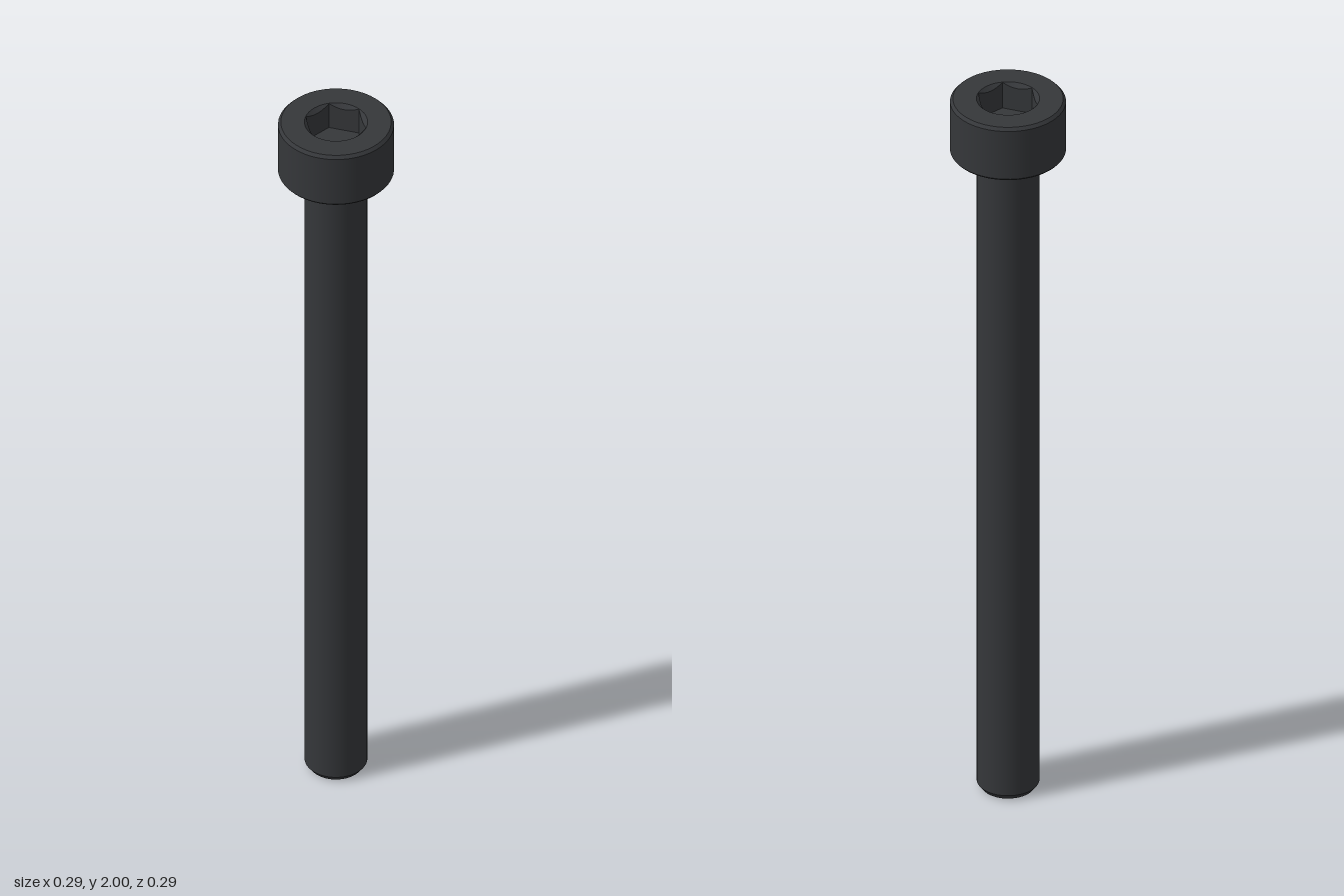
import * as THREE from 'three';
import { mergeGeometries } from 'three/addons/utils/BufferGeometryUtils.js';

const SEGMENTS = 48;
const RIM = 0.0785; // socket mouth radius
const toPoints = (pairs) => pairs.map(([r, y]) => new THREE.Vector2(r, y));

// Lathe with a sharp crease at every profile point, smooth around the axis
function creasedLathe(pairs) {
  const pts = toPoints(pairs);
  return mergeGeometries(pts.slice(1).map((p, i) => new THREE.LatheGeometry([pts[i], p], SEGMENTS)));
}

// Hexagonal recess: a round conical mouth running into six flat walls and a floor
function hexSocket(apothem, top, floor) {
  const geo = new THREE.LatheGeometry(toPoints([[RIM, top], [1, top], [1, floor], [0, floor]]), SEGMENTS);
  const pos = geo.attributes.position;
  for (let i = 0; i < pos.count; i++) {
    const ring = i % 4;
    if (ring !== 1 && ring !== 2) continue;
    const angle = (Math.floor(i / 4) / SEGMENTS) * Math.PI * 2;
    const fromFlat = angle - Math.round(angle / (Math.PI / 3)) * (Math.PI / 3);
    const r = apothem / Math.cos(fromFlat);
    const y = ring === 1 ? top - (RIM - r) : floor;
    pos.setXYZ(i, r * Math.sin(angle), y, r * Math.cos(angle));
  }
  const flat = geo.toNonIndexed();
  flat.computeVertexNormals();
  return flat;
}

export function createModel() {
  const group = new THREE.Group();
  const color = 0x35373a;
  const smooth = new THREE.MeshStandardMaterial({ color });
  const faceted = new THREE.MeshStandardMaterial({ color, flatShading: true });
  const add = (name, geometry, material) => {
    const mesh = new THREE.Mesh(geometry, material);
    mesh.name = name;
    group.add(mesh);
  };

  // Plain shank with a chamfered tip
  add('shank', creasedLathe([[0, 0], [0.067, 0], [0.078, 0.015], [0.078, 1.848]]), smooth);

  // Cylindrical head with small edge chamfers and an open socket mouth
  add('head', creasedLathe([
    [0.078, 1.848], [0.14, 1.848], [0.144, 1.853], [0.144, 1.992], [0.137, 2], [RIM, 2],
  ]), smooth);

  // Drive recess in the head
  add('hexSocket', hexSocket(0.0675, 2, 1.925), faceted);

  return group;
}
